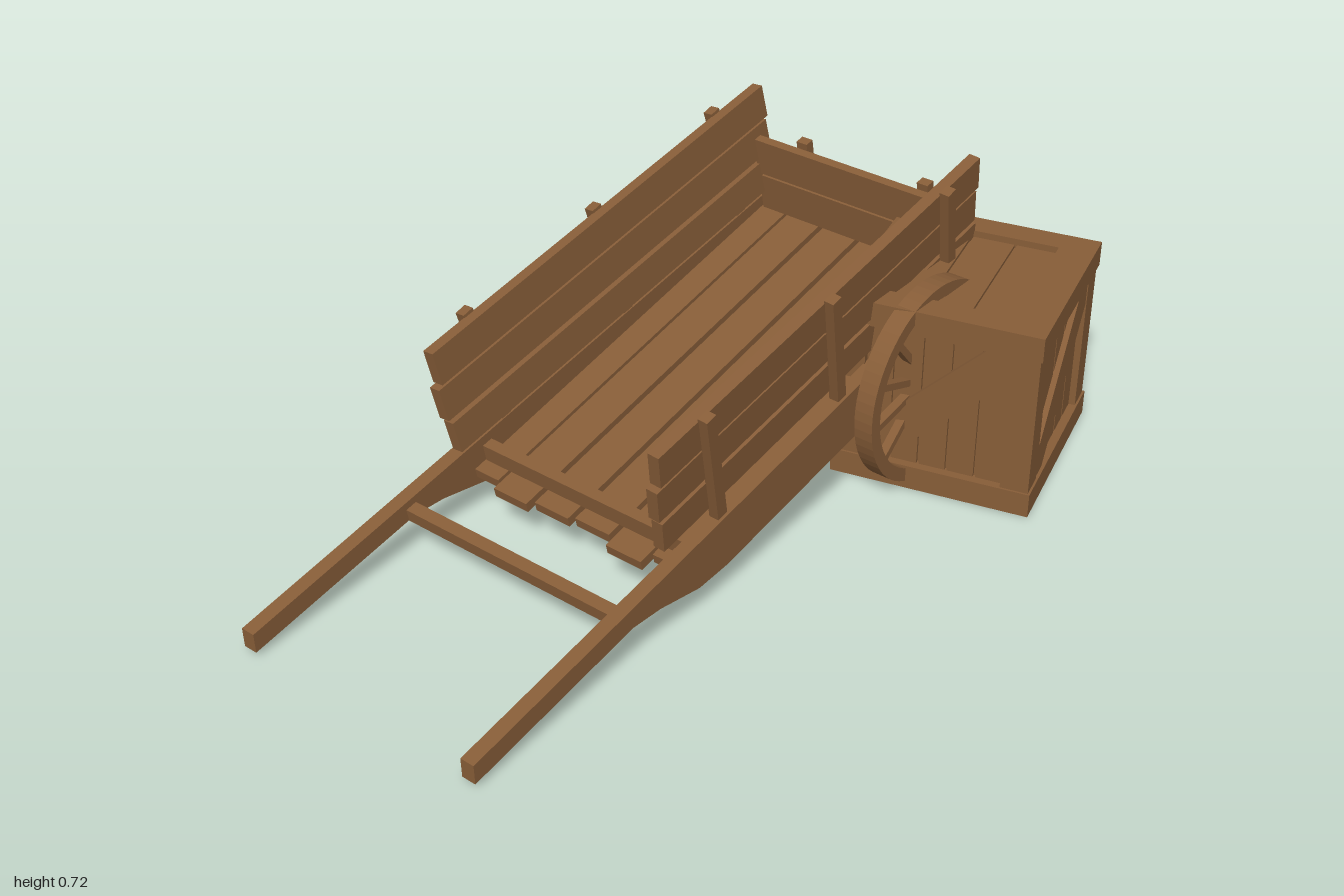
import * as THREE from 'three';

const wood = new THREE.MeshStandardMaterial({ color: 0x875d38 });
wood.name = 'brown wood';

function add(parent, name, geometry, x = 0, y = 0, z = 0) {
  const mesh = new THREE.Mesh(geometry, wood);
  mesh.name = name;
  mesh.position.set(x, y, z);
  parent.add(mesh);
  return mesh;
}

const box = (parent, name, w, h, d, x, y, z) =>
  add(parent, name, new THREE.BoxGeometry(w, h, d), x, y, z);

function group(parent, name, x = 0, y = 0, z = 0) {
  const g = new THREE.Group();
  g.name = name;
  g.position.set(x, y, z);
  parent.add(g);
  return g;
}

// Flat shape drawn in (z, y), given a thickness along x and centred on x = 0
function sideExtrude(shape, thickness) {
  const g = new THREE.ExtrudeGeometry(shape, { depth: thickness, bevelEnabled: false, curveSegments: 32 });
  return g.translate(0, 0, -thickness / 2).rotateY(-Math.PI / 2);
}

function buildWheel(parent, s) {
  const wheel = group(parent, 'wheel', s * 0.41, 0, 0);
  const rim = new THREE.Shape().absarc(0, 0, 0.26, 0, Math.PI * 2, false);
  rim.holes.push(new THREE.Path().absarc(0, 0, 0.226, 0, Math.PI * 2, true));
  add(wheel, 'rim', sideExtrude(rim, 0.05));
  add(wheel, 'hub', new THREE.CylinderGeometry(0.036, 0.036, 0.056, 16).rotateZ(Math.PI / 2));
  // pointed axle end
  add(wheel, 'axleCap', new THREE.CylinderGeometry(0.008, 0.018, 0.025, 12).rotateZ(-s * Math.PI / 2), s * 0.039);
  for (let i = 0; i < 12; i++) {
    const spoke = group(wheel, 'spoke');
    spoke.rotation.x = (i / 12) * Math.PI * 2;
    box(spoke, 'spokeBar', 0.022, 0.21, 0.018, 0, 0.13, 0);
  }
}

function buildSide(cart, s) {
  // long beam that narrows into a handle
  const beam = new THREE.Shape([
    [-0.375, -0.05], [0.72, -0.05], [0.82, -0.038], [0.95, 0.012], [1.04, 0.034],
    [1.547, 0.036], [1.539, 0.086], [-0.375, 0.086],
  ].map(([z, y]) => new THREE.Vector2(z, y)));
  add(cart, 'handleBeam', sideExtrude(beam, 0.037), s * 0.332);

  // three boards leaning outward, held by posts
  const side = group(cart, 'sideWall', s * 0.305, 0.1, 0);
  side.rotation.z = -s * 0.087;
  [[0.058, 0.086, -0.365, 0.88], [0.16, 0.09, -0.36, 0.888], [0.256, 0.09, -0.369, 0.874]]
    .forEach(([y, h, z0, z1]) => box(side, 'sideBoard', 0.03, h, z1 - z0, 0, y, (z0 + z1) / 2));
  for (const z of [0.712, 0.25, -0.22]) {
    const post = box(side, 'sidePost', 0.026, 0.345, 0.032, s * 0.026, 0.137, z);
    post.rotation.x = 0.06;
  }
  buildWheel(cart, s);
}

function buildCart(root) {
  const cart = group(root, 'handcart', -0.14, 0.26, -0.53);
  cart.rotation.x = 0.183;
  for (const s of [-1, 1]) buildSide(cart, s);
  add(cart, 'axle', new THREE.CylinderGeometry(0.018, 0.018, 0.82, 12).rotateZ(Math.PI / 2));

  // floor planks of uneven length on bearers
  const floor = group(cart, 'floor', 0, 0.023, 0);
  floor.rotation.x = 0.034;
  const planks = [
    [-0.273, 0.075, -0.375, 0.84], [-0.1755, 0.103, -0.355, 0.865], [-0.0585, 0.103, -0.368, 0.85],
    [0.0585, 0.103, -0.37, 0.84], [0.1755, 0.103, -0.36, 0.868], [0.273, 0.075, -0.365, 0.835],
  ];
  for (const [x, w, z0, z1] of planks) box(floor, 'floorPlank', w, 0.026, z1 - z0, x, 0.013, (z0 + z1) / 2);
  for (const z of [0.69, 0.235, -0.215]) box(floor, 'bearer', 0.63, 0.028, 0.034, 0, -0.014, z);

  // cross pieces at the front
  box(cart, 'frontSill', 0.61, 0.046, 0.03, 0, 0.048, 0.79);
  box(cart, 'handleCrossbar', 0.63, 0.034, 0.032, 0, 0.05, 1.045);

  // tailgate
  box(cart, 'tailgateBoard', 0.605, 0.104, 0.024, 0, 0.114, -0.316);
  box(cart, 'tailgateBoard', 0.615, 0.104, 0.024, 0, 0.224, -0.316);
  for (const x of [-0.17, 0.2]) box(cart, 'tailgatePost', 0.032, 0.25, 0.026, x, 0.17, -0.341);
}

// Flat square frame with a window, h thick, lying on y
function frame(parent, name, size, mx, mz, h, y) {
  const a = size / 2;
  for (const s of [-1, 1]) {
    box(parent, name, mx, h, size, s * (a - mx / 2), y, 0);
    box(parent, name, size - 2 * mx, h, mz, 0, y, s * (a - mz / 2));
  }
}

function buildCrate(root) {
  const crate = group(root, 'crate', 0.285, 0, -0.69);
  crate.rotation.y = 0.262;
  const S = 0.507, H = 0.5, band = 0.064, inner = 0.445;
  box(crate, 'crateCore', inner, H - 0.05, inner, 0, H / 2, 0);
  for (const y of [band / 2, H - band / 2]) frame(crate, 'crateRim', S, 0.09, 0.07, band, y);

  // inset planks of lid and base
  for (const y of [0.023, H - 0.023])
    for (let i = -1; i <= 1; i++) box(crate, 'lidPlank', 0.106, 0.012, 0.37, i * 0.112, y, 0);

  // corner posts
  for (const x of [-1, 1]) for (const z of [-1, 1])
    box(crate, 'cornerPost', 0.07, H - 2 * band, 0.07, x * 0.213, H / 2, z * 0.213);

  // each side: upright planks and a diagonal brace
  const h = (H - 2 * band) / 2, w = 0.178, t = 0.075;
  for (let i = 0; i < 4; i++) {
    const face = group(crate, 'crateSide', 0, H / 2, 0);
    face.rotation.y = i * Math.PI / 2;
    for (let k = -2; k <= 2; k++) box(face, 'sidePlank', 0.066, 2 * h, 0.012, k * 0.072, 0, inner / 2 + 0.003);
    const f = i === 2 ? -1 : 1;
    const pts = [[-w, -h], [-w + t * 0.75, -h], [w, h - t], [w, h], [w - t * 0.75, h], [-w, -h + t]];
    const brace = new THREE.Shape(pts.map(([x, y]) => new THREE.Vector2(f * x, y)));
    add(face, 'diagonalBrace', new THREE.ExtrudeGeometry(brace, { depth: 0.02, bevelEnabled: false }), 0, 0, inner / 2 + 0.003);
  }
}

export function createModel() {
  const root = new THREE.Group();
  root.name = 'handcartWithCrate';
  buildCart(root);
  buildCrate(root);
  return root;
}
